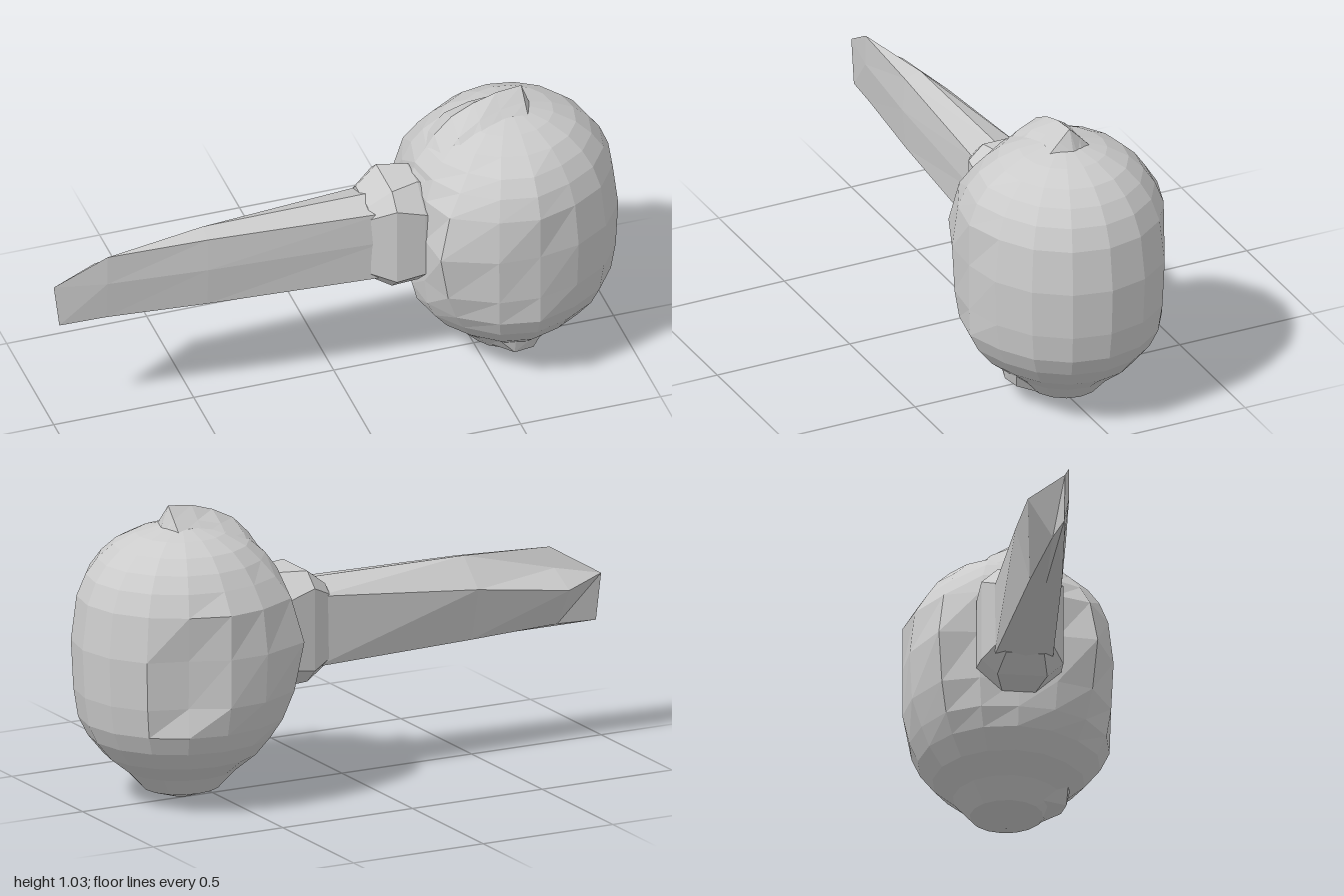
import * as THREE from 'three';
import { ConvexGeometry } from 'three/addons/geometries/ConvexGeometry.js';

const material = new THREE.MeshStandardMaterial({
  color: 0xcccccc, flatShading: true, side: THREE.DoubleSide,
});

// Skin a row of closed cross-sections, then close both ends with fans.
function loft(sections) {
  const n = sections[0].length;
  const index = [];
  for (let i = 0; i < sections.length - 1; i++) {
    for (let j = 0; j < n; j++) {
      const a = i * n + j, b = i * n + (j + 1) % n;
      index.push(a, a + n, b + n, a, b + n, b);
    }
  }
  const last = (sections.length - 1) * n;
  for (let j = 1; j < n - 1; j++) {
    index.push(0, j, j + 1, last, last + j + 1, last + j);
  }
  const geo = new THREE.BufferGeometry();
  geo.setAttribute('position', new THREE.Float32BufferAttribute(sections.flat(2), 3));
  geo.setIndex(index);
  const flat = geo.toNonIndexed();
  flat.computeVertexNormals();
  return flat;
}

// Head: sixteen sides, [y, half depth, cheek], flattened towards the beak.
function headGeometry() {
  const rows = [
    [0.962, 0.07, 0], [0.94, 0.148, 0], [0.902, 0.22, 0], [0.855, 0.27, 0],
    [0.8, 0.308, 0.2], [0.725, 0.337, 0.6], [0.57, 0.355, 1], [0.4, 0.347, 0.6],
    [0.3, 0.332, 0.2], [0.235, 0.302, 0], [0.17, 0.252, 0], [0.11, 0.182, 0],
    [0.045, 0.125, 0], [0.002, 0.002, 0],
  ];
  return loft(rows.map(([y, r, cheek]) => {
    const ring = [];
    for (let j = 0; j < 16; j++) {
      const t = j / 16 * Math.PI * 2;
      const corner = j === 6 || j === 10;
      // Cheek corners beside the beak stand proud; one back panel is sunken
      const sunk = j === 13 && y > 0.35 && y < 0.7 ? 0.9 : 1;
      const dx = 0.38 * Math.cos(t) * r / 0.355 * (corner ? 1 + 0.22 * cheek : 1) * sunk;
      let dz = Math.sin(t) * r * (corner ? 1 + 0.08 * cheek : 1) * sunk;
      // Plumped breast in front and raised panel behind
      const breast = (j === 4 || j === 5) && y > 0.1 && y < 0.9;
      const panel = (j === 11 || j === 12) && y > 0.35 && y < 0.75;
      if (breast || panel) dz = THREE.MathUtils.clamp(dz * 1.06, -0.355, 0.355);
      ring.push([0.62 + Math.max(-0.34, dx), y, dz]);
    }
    return ring;
  }));
}

// Collar: eight-sided flare, [x, bottom, top, half depth, chamfer]
function collarGeometry() {
  return loft([
    [0.1, 0.415, 0.7, 0.098, 0.03], [0.18, 0.37, 0.76, 0.14, 0.05],
    [0.28, 0.355, 0.76, 0.145, 0.08], [0.4, 0.42, 0.7, 0.13, 0.08],
  ].map(([x, lo, hi, w, c]) => {
    const v = w - 1.1 * c;
    return [
      [x, hi, v], [x, hi - c, w], [x, lo + c, w], [x, lo, v],
      [x, lo, -v], [x, lo + c, -w], [x, hi - c, -w], [x, hi, -v],
    ];
  }));
}

// Beak: [x, ridge y, front y, front z, back y, back z, middle z, bottom half depth]
function beakGeometry() {
  const sections = [
    [0.15, 0.71, 0.687, 0.1, 0.67, -0.103, 0.104, 0.1],
    [-0.47, 0.705, 0.69, 0.06, 0.61, -0.104, 0.068, 0.055],
    [-0.82, 0.614, 0.68, 0.035, 0.56, -0.105, 0.036, 0.02],
  ].map(([x, ridge, frontY, frontZ, backY, backZ, mid, w]) => [
    [x, ridge, 0], [x, frontY, frontZ], [x, 0.57, mid], [x, 0.422, w],
    [x, 0.41, 0], [x, 0.422, -w], [x, backY, backZ],
  ]);
  const top = [-1, 0.572, 0], bottom = [-0.98, 0.41, 0];
  sections.push([top, top, top, bottom, bottom, bottom, top]);
  return loft(sections);
}

// Crest: ridge over the crown ending in a small peak,
// [x, ridge y, side y, half depth, roundness]
function crestGeometry() {
  return loft([
    [0.28, 0.76, 0.68, 0.09, 0.1], [0.3, 0.81, 0.7, 0.13, 0.1],
    [0.36, 0.9, 0.8, 0.14, 0.1], [0.42, 0.96, 0.87, 0.13, 0.1],
    [0.5, 1.0, 0.92, 0.11, 0.05], [0.58, 1.025, 0.94, 0.09, 0],
    [0.67, 1.035, 0.95, 0.08, 0], [0.7, 0.955, 0.94, 0.03, 0],
  ].map(([x, y, side, w, round]) => {
    const mid = y - (y - side) * (0.5 - round);
    const v = w * (0.5 + round);
    return [[x, y, 0], [x, mid, -v], [x, side, -w], [x, side, w], [x, mid, v]];
  }));
}

// Chin tuft: small faceted lump low on the front
function chinGeometry() {
  return new ConvexGeometry([
    [0.5, 0.17, 0.2], [0.69, 0.17, 0.21], [0.58, 0.175, 0.22], [0.58, 0.08, 0.2],
    [0.65, 0.08, 0.19], [0.62, 0.045, 0.13], [0.68, 0.045, 0.1], [0.49, 0.06, 0.06],
  ].map((p) => new THREE.Vector3(...p)));
}

export function createModel() {
  const group = new THREE.Group();
  group.name = 'birdHead';
  const parts = {
    head: headGeometry(), collar: collarGeometry(), beak: beakGeometry(),
    crest: crestGeometry(), chinTuft: chinGeometry(),
  };
  for (const [name, geometry] of Object.entries(parts)) {
    const mesh = new THREE.Mesh(geometry, material);
    mesh.name = name;
    group.add(mesh);
  }
  return group;
}
